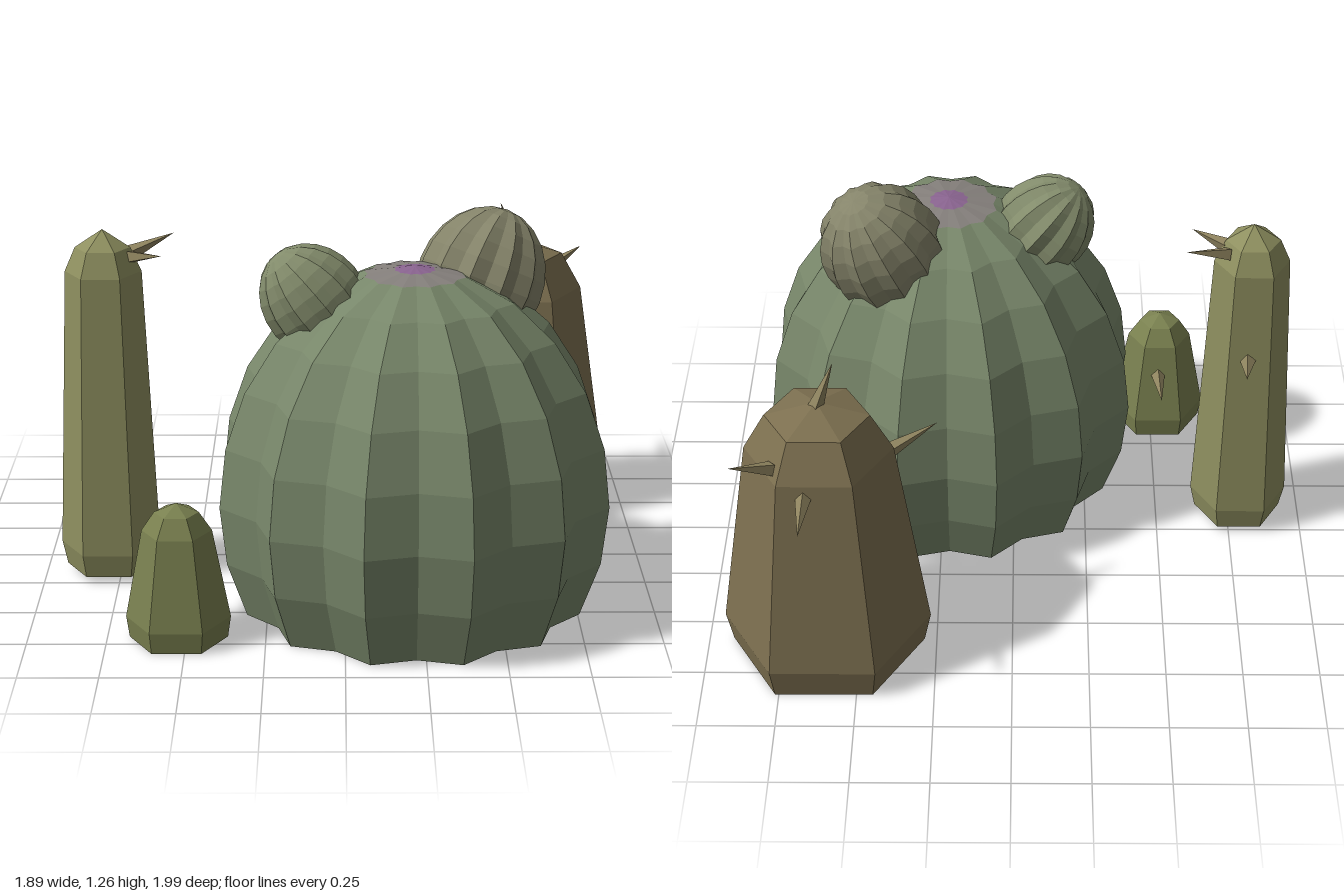
import * as THREE from 'three';

const mat = (color) => new THREE.MeshStandardMaterial({ color, flatShading: true, side: THREE.DoubleSide });
const bodyGreen = mat(0x78876a), budGreen = mat(0x828b6b), budOlive = mat(0x85846a);
const tallGreen = mat(0x8f9060), smallGreen = mat(0x7a8150), brown = mat(0x7d7050);
const spineTan = mat(0x8f845f), mauve = mat(0x85807c), purple = mat(0x8a6490);

function addMesh(parent, name, geometry, material) {
  const mesh = new THREE.Mesh(geometry, material);
  mesh.name = name;
  parent.add(mesh);
  return mesh;
}

// Ribbed surface: a lathe whose every other column is pulled inward
function ribbed(profile) {
  const geo = new THREE.LatheGeometry(profile, 24);
  const pos = geo.attributes.position;
  for (let i = 0; i < pos.count; i++) {
    const column = Math.floor(i / profile.length);
    if (column % 2 === 0) pos.setXYZ(i, pos.getX(i) * 0.9, pos.getY(i), pos.getZ(i) * 0.9);
  }
  geo.computeVertexNormals();
  return geo;
}

// Round cactus centred on its equator, open underneath, ending 15 degrees from the pole
const RX = 0.64, RY = 0.75;
function ballProfile(endDegrees) {
  const points = [];
  for (let d = -30; d <= endDegrees; d += 15) {
    const a = THREE.MathUtils.degToRad(d);
    points.push(new THREE.Vector2(Math.max(0, RX * Math.cos(a)), RY * Math.sin(a)));
  }
  return points;
}

// Thin four-sided thorn from base to tip
function spine(parent, base, tip, radius = 0.026) {
  const a = new THREE.Vector3(...base), b = new THREE.Vector3(...tip);
  const dir = b.clone().sub(a);
  const geo = new THREE.ConeGeometry(radius, dir.length(), 4);
  const mesh = addMesh(parent, 'spine', geo, spineTan);
  mesh.position.copy(a).add(b).multiplyScalar(0.5);
  mesh.quaternion.setFromUnitVectors(new THREE.Vector3(0, 1, 0), dir.normalize());
}

// Six-sided column with corners on the x axis; spines are [base, tip] pairs
function column(parent, name, x, z, profile, material, spines) {
  const group = new THREE.Group();
  group.name = name;
  const points = profile.map(([r, y]) => new THREE.Vector2(r, y));
  const stem = addMesh(group, name + 'Stem', new THREE.LatheGeometry(points, 6, Math.PI / 2), material);
  stem.position.set(x, 0, z);
  for (const [base, tip] of spines) spine(group, base, tip);
  parent.add(group);
}

export function createModel() {
  const model = new THREE.Group();
  model.name = 'cactusCluster';

  // Large barrel cactus with a flowering crown
  const barrel = new THREE.Group();
  barrel.name = 'barrelCactus';
  barrel.position.set(0.22, RY / 2, 0.375);
  addMesh(barrel, 'barrelBody', ribbed(ballProfile(75)), bodyGreen);
  const rim = ballProfile(75).pop();
  const pole = new THREE.Vector2(0, RY);
  const mid = rim.clone().lerp(pole, 0.6);
  addMesh(barrel, 'crownRing', ribbed([rim, mid]), mauve);
  addMesh(barrel, 'crownFlower', ribbed([mid, pole]), purple);
  model.add(barrel);

  // Two buds leaning outward on top of the barrel
  const buds = [
    ['rightBud', 0.26, [-0.095, 1.01, 0.375], [-0.12, 0.15, 0], budGreen],
    ['leftBud', 0.325, [0.435, 1.03, 0.2], [0.09, 0.22, -0.06], budOlive],
  ];
  for (const [name, scale, centre, axis, material] of buds) {
    const bud = addMesh(model, name, ribbed(ballProfile(90)), material);
    bud.scale.setScalar(scale);
    bud.position.set(...centre);
    bud.quaternion.setFromUnitVectors(new THREE.Vector3(0, 1, 0), new THREE.Vector3(...axis).normalize());
  }

  // Tall thin column
  column(model, 'tallCactus', -0.785, 0.12,
    [[0, 0.02], [0.148, 0.02], [0.165, 0.1], [0.125, 1.04], [0.09, 1.12], [0, 1.18]], tallGreen, [
      [[-0.7, 1.09, 0.08], [-0.56, 1.14, 0.01]],
      [[-0.7, 1.09, 0.13], [-0.59, 1.11, 0.2]],
      [[-0.78, 0.72, 0.0], [-0.765, 0.75, -0.15]],
    ]);

  // Small front column
  column(model, 'smallCactus', -0.525, 0.69,
    [[0, 0], [0.155, 0], [0.165, 0.07], [0.11, 0.36], [0.07, 0.42], [0, 0.45]], smallGreen, [
      [[-0.52, 0.25, 0.59], [-0.525, 0.28, 0.38]],
    ]);

  // Stout brown column at the back
  column(model, 'brownCactus', 0.605, -0.58,
    [[0, 0], [0.315, 0], [0.337, 0.105], [0.235, 0.79], [0.165, 0.915], [0, 0.965]], brown, [
      [[0.61, 0.94, -0.585], [0.55, 1.1, -0.565]],
      [[0.64, 0.745, -0.78], [0.64, 0.77, -1.0]],
      [[0.74, 0.82, -0.73], [0.86, 0.88, -0.81]],
      [[0.39, 0.74, -0.53], [0.24, 0.77, -0.42]],
    ]);

  return model;
}
